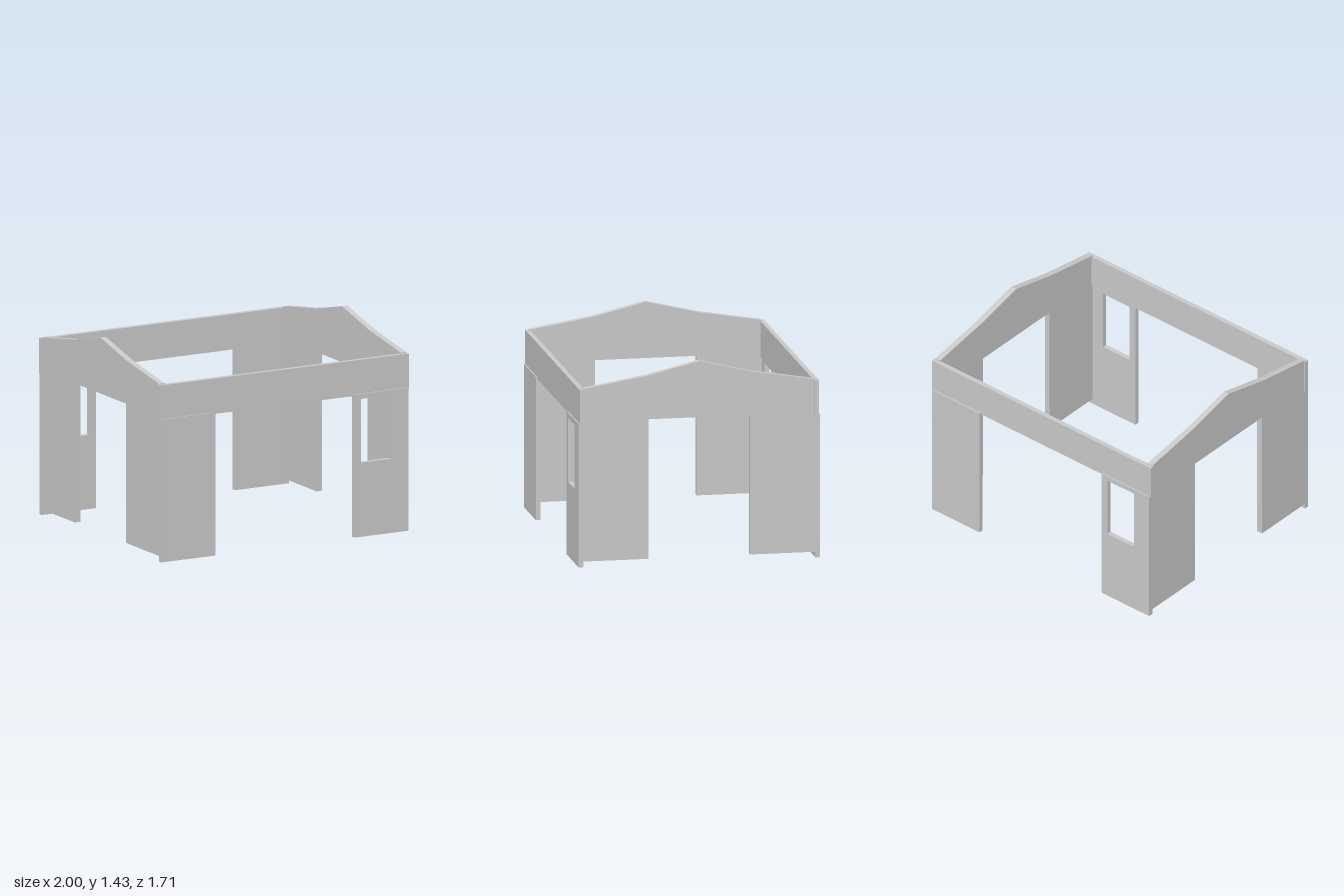
import * as THREE from 'three';

const material = new THREE.MeshStandardMaterial({ color: 0xcccccc, flatShading: true });

// Flat slab: outline extruded along +z from zStart
function slab(name, points, depth, zStart, hole) {
  const toVec = ([x, y]) => new THREE.Vector2(x, y);
  const shape = new THREE.Shape(points.map(toVec));
  if (hole) shape.holes.push(new THREE.Path(hole.map(toVec)));
  const geometry = new THREE.ExtrudeGeometry(shape, { depth, bevelEnabled: false });
  geometry.translate(0, 0, zStart);
  const mesh = new THREE.Mesh(geometry, material);
  mesh.name = name;
  return mesh;
}

const rect = (x0, y0, x1, y1) => [[x0, y0], [x1, y0], [x1, y1], [x0, y1]];

// One long wall (lintel and two panels) with the gable wall on its left
function createHalf() {
  const half = new THREE.Group();

  half.add(slab('lintel', rect(-0.998, 1.01, 0.998, 1.263), 0.034, 0.814));
  half.add(slab('plainPanel', rect(-0.99, 0, -0.556, 1.022), 0.034, 0.823));
  half.add(slab('windowPanel', rect(0.556, 0, 0.99, 1.022), 0.034, 0.823,
    rect(0.61, 0.53, 0.85, 0.985)));

  // Gable wall with a wide doorway, open at the bottom
  const gable = slab('gableWall', [
    [-0.823, 0.04], [-0.36, 0.04], [-0.36, 1.035], [0.36, 1.035], [0.36, 0.04], [0.823, 0.04],
    [0.823, 1.27], [0.37, 1.345], [0, 1.435], [-0.37, 1.345], [-0.823, 1.27],
  ], 0.044, 0.946);
  gable.rotation.y = Math.PI / 2;
  half.add(gable);
  return half;
}

export function createModel() {
  const model = new THREE.Group();
  model.name = 'buildingShell';

  // The plan repeats after a half turn
  ['frontHalf', 'backHalf'].forEach((name, i) => {
    const half = createHalf();
    half.name = name;
    half.rotation.y = i * Math.PI;
    model.add(half);
  });
  return model;
}
